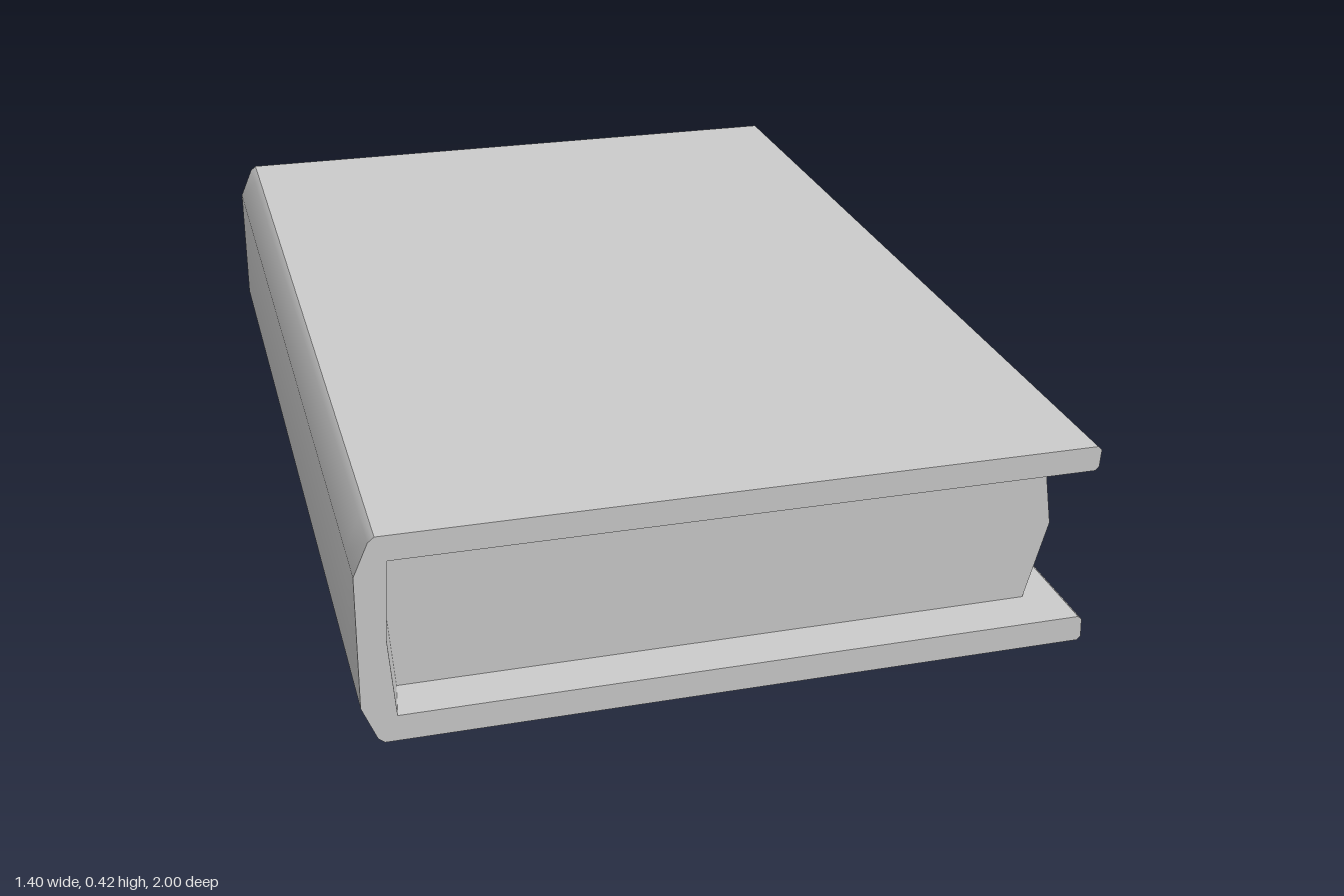
import * as THREE from 'three';
import { toCreasedNormals } from 'three/addons/utils/BufferGeometryUtils.js';

const material = new THREE.MeshStandardMaterial({ color: 0xcccccc });

// Extrudes an outline of [x, y] points along z, centred on z = 0
function extrude(points, length, steps = 1) {
  const shape = new THREE.Shape(points.map(([x, y]) => new THREE.Vector2(x, y)));
  const geometry = new THREE.ExtrudeGeometry(shape, { depth: length, steps, bevelEnabled: false });
  return geometry.translate(0, 0, -length / 2);
}

function addPart(group, name, geometry) {
  const mesh = new THREE.Mesh(toCreasedNormals(geometry, 0.6), material);
  mesh.name = name;
  group.add(mesh);
}

export function createModel() {
  const book = new THREE.Group();
  book.name = 'book';

  // Cover: two boards joined by a bevelled spine, as one C-shaped outline
  const cover = extrude([
    [-0.66, 0], [0.692, 0], [0.7, 0.008], [0.698, 0.046], [0.69, 0.053],
    [-0.635, 0.053], [-0.648, 0.21], [-0.64, 0.37],
    [0.69, 0.37], [0.698, 0.377], [0.7, 0.412], [0.692, 0.42],
    [-0.66, 0.42], [-0.672, 0.41], [-0.7, 0.345], [-0.7, 0.078], [-0.672, 0.01],
  ], 2, 20);

  // The inside of the spine tapers in from both ends towards the pages
  const p = cover.attributes.position;
  for (let i = 0; i < p.count; i++) {
    const inner = p.getX(i) < -0.6 && p.getX(i) > -0.655 && p.getY(i) > 0.04 && p.getY(i) < 0.38;
    if (inner && Math.abs(p.getZ(i)) < 0.95) p.setX(i, p.getX(i) + 0.014);
  }
  addPart(book, 'cover', cover);

  // Page block: bowed fore edge, its back sunk into the spine
  addPart(book, 'pages', extrude([
    [-0.65, 0.05], [0.617, 0.05], [0.66, 0.213], [0.635, 0.373], [-0.65, 0.373],
  ], 1.81));

  return book;
}
